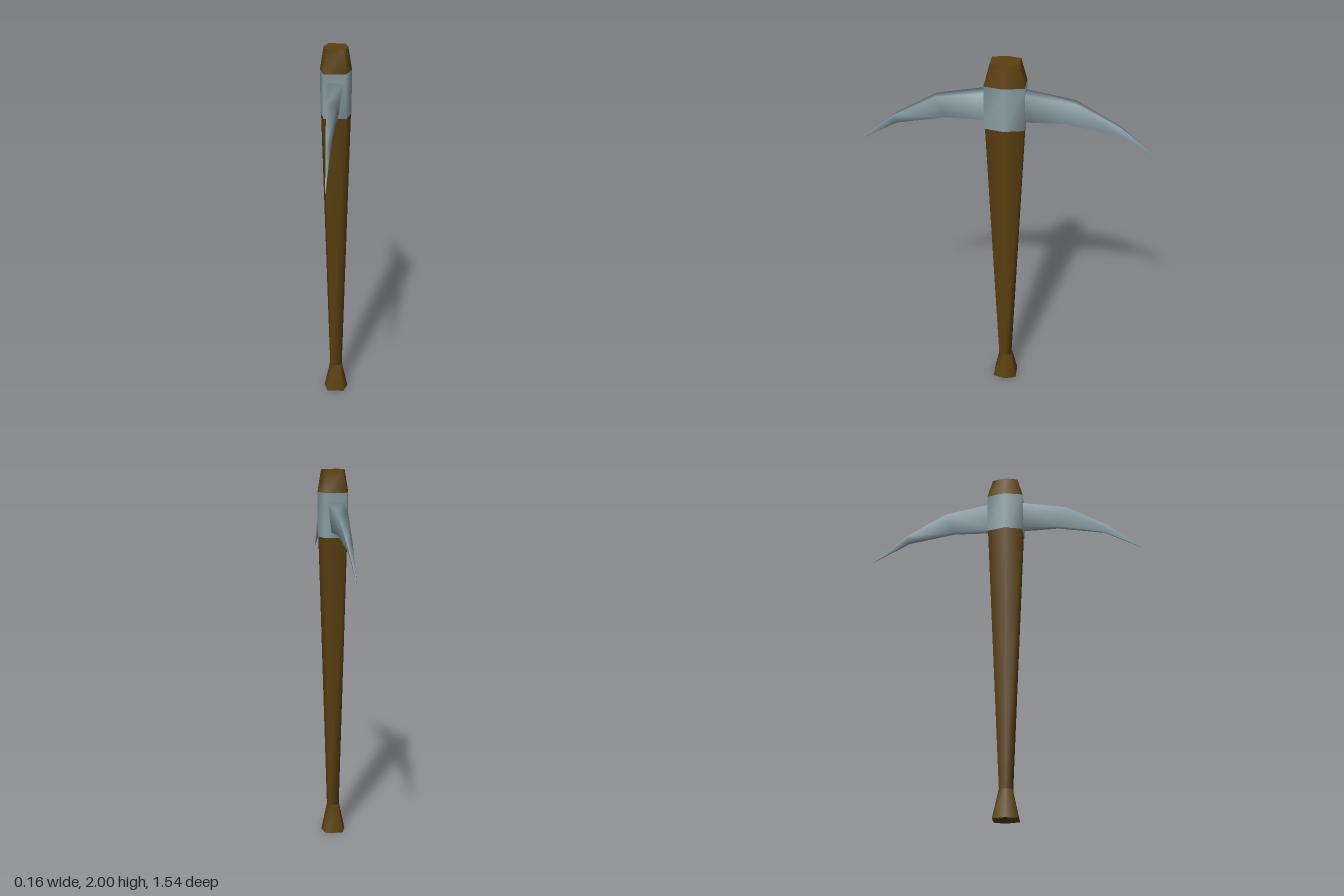
import * as THREE from 'three';

// Skin a list of rings (clockwise seen from the end of the path), smooth sides, optional flat caps.
function loft(rings, { startCap = false, endCap = false } = {}) {
  const n = rings[0].length;
  const pos = rings.flat(2);
  const index = [];
  for (let r = 0; r < rings.length - 1; r++) {
    for (let i = 0; i < n; i++) {
      const a = r * n + i, b = r * n + (i + 1) % n;
      index.push(a, a + n, b, b, a + n, b + n);
    }
  }
  const cap = (ring, flip) => {
    const s = pos.length / 3;
    pos.push(...ring.flat());
    for (let i = 1; i < n - 1; i++) index.push(s, flip ? s + i + 1 : s + i, flip ? s + i : s + i + 1);
  };
  if (startCap) cap(rings[0], false);
  if (endCap) cap(rings[rings.length - 1], true);
  const geo = new THREE.BufferGeometry();
  geo.setAttribute('position', new THREE.Float32BufferAttribute(pos, 3));
  geo.setIndex(index);
  geo.computeVertexNormals();
  return geo;
}

// Horizontal six-sided section: points on +x and -x, flat edges on the front and back.
const hex = (y, hx, hz, k = 0.7) => [
  [hx, y, 0], [hx * k, y, hz], [-hx * k, y, hz],
  [-hx, y, 0], [-hx * k, y, -hz], [hx * k, y, -hz],
];

// Section of a blade: wide on top, narrower below, leaning along z.
const bladeRing = (zTop, yTop, zLow, yLow, w) => [
  [-w, yTop, zTop], [w, yTop, zTop], [w * 0.55, yLow, zLow], [-w * 0.55, yLow, zLow],
];

export function createModel() {
  const group = new THREE.Group();
  const wood = new THREE.MeshStandardMaterial({ color: 0x5a4010 });
  wood.name = 'darkWood';
  const metal = new THREE.MeshStandardMaterial({ color: 0x8a9ea6 });
  metal.name = 'greySteel';

  const add = (name, geo, mat) => {
    const mesh = new THREE.Mesh(geo, mat);
    mesh.name = name;
    group.add(mesh);
    return mesh;
  };

  // Wooden handle, flared at the foot
  add('handleFoot', loft([hex(0, 0.066, 0.066), hex(0.155, 0.034, 0.034)], { startCap: true }), wood);
  add('handleShaft', loft([hex(0.155, 0.034, 0.034), hex(1.655, 0.077, 0.097)]), wood);
  add('handleTop', loft([hex(1.885, 0.081, 0.102), hex(2, 0.062, 0.072)], { endCap: true }), wood);

  // Steel collar around the handle
  add('collar', loft([hex(1.655, 0.08, 0.101), hex(1.885, 0.081, 0.102)], { startCap: true, endCap: true }), metal);

  // Two curved blades, front and back
  const blade = loft([
    bladeRing(0.09, 1.84, 0.09, 1.685, 0.041),
    bladeRing(0.35, 1.8, 0.3, 1.685, 0.026),
    bladeRing(0.58, 1.675, 0.56, 1.635, 0.012),
    bladeRing(0.77, 1.52, 0.769, 1.519, 0.001),
  ], { endCap: true });
  add('frontBlade', blade, metal);
  add('backBlade', blade, metal).rotation.y = Math.PI;

  return group;
}
